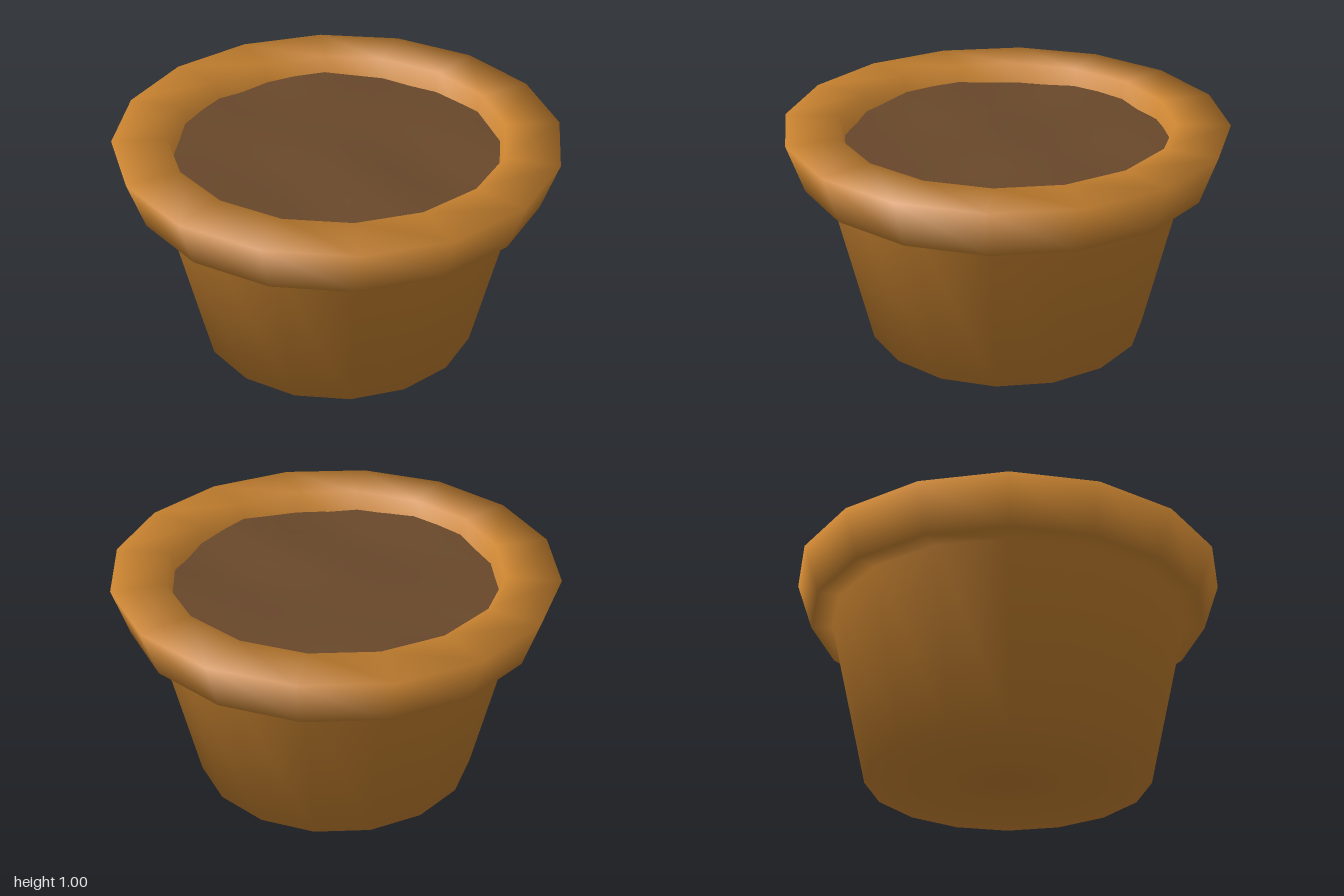
import * as THREE from 'three';
import { mergeVertices } from 'three/addons/utils/BufferGeometryUtils.js';

const SIDES = 16;

const terracotta = new THREE.MeshStandardMaterial({ color: 0xc98330 });
terracotta.name = 'terracotta';
const earth = new THREE.MeshStandardMaterial({ color: 0x69482b });
earth.name = 'earth';

// Pot shell: base, tapered wall, overhanging rim, lip and inner wall, with soft shared normals
function makePot() {
  const profile = [
    [0, 0], [0.645, 0], [0.825, 0.78], [0.925, 0.78],
    [1, 1], [0.755, 1], [0.705, 0.78],
  ].map(([r, y]) => new THREE.Vector2(r, y));
  const pot = new THREE.Mesh(new THREE.LatheGeometry(profile, SIDES), terracotta);
  pot.name = 'pot';
  return pot;
}

// Soil: a disc of rings raised and lowered by gentle waves
function makeSoil() {
  let geometry = new THREE.RingGeometry(0, 0.75, SIDES * 2, 7);
  geometry.rotateX(-Math.PI / 2);
  geometry.deleteAttribute('uv');
  geometry.deleteAttribute('normal');
  const p = geometry.attributes.position;
  for (let i = 0; i < p.count; i++) {
    const x = p.getX(i), z = p.getZ(i);
    const wave = Math.sin(x * 7 + 1) * Math.cos(z * 6) + 0.6 * Math.sin(z * 9 - x * 5);
    p.setY(i, 0.912 + 0.011 * wave);
  }
  geometry = mergeVertices(geometry);
  geometry.computeVertexNormals();
  const soil = new THREE.Mesh(geometry, earth);
  soil.name = 'soil';
  return soil;
}

export function createModel() {
  const model = new THREE.Group();
  model.name = 'flowerPot';
  model.add(makePot(), makeSoil());
  return model;
}
